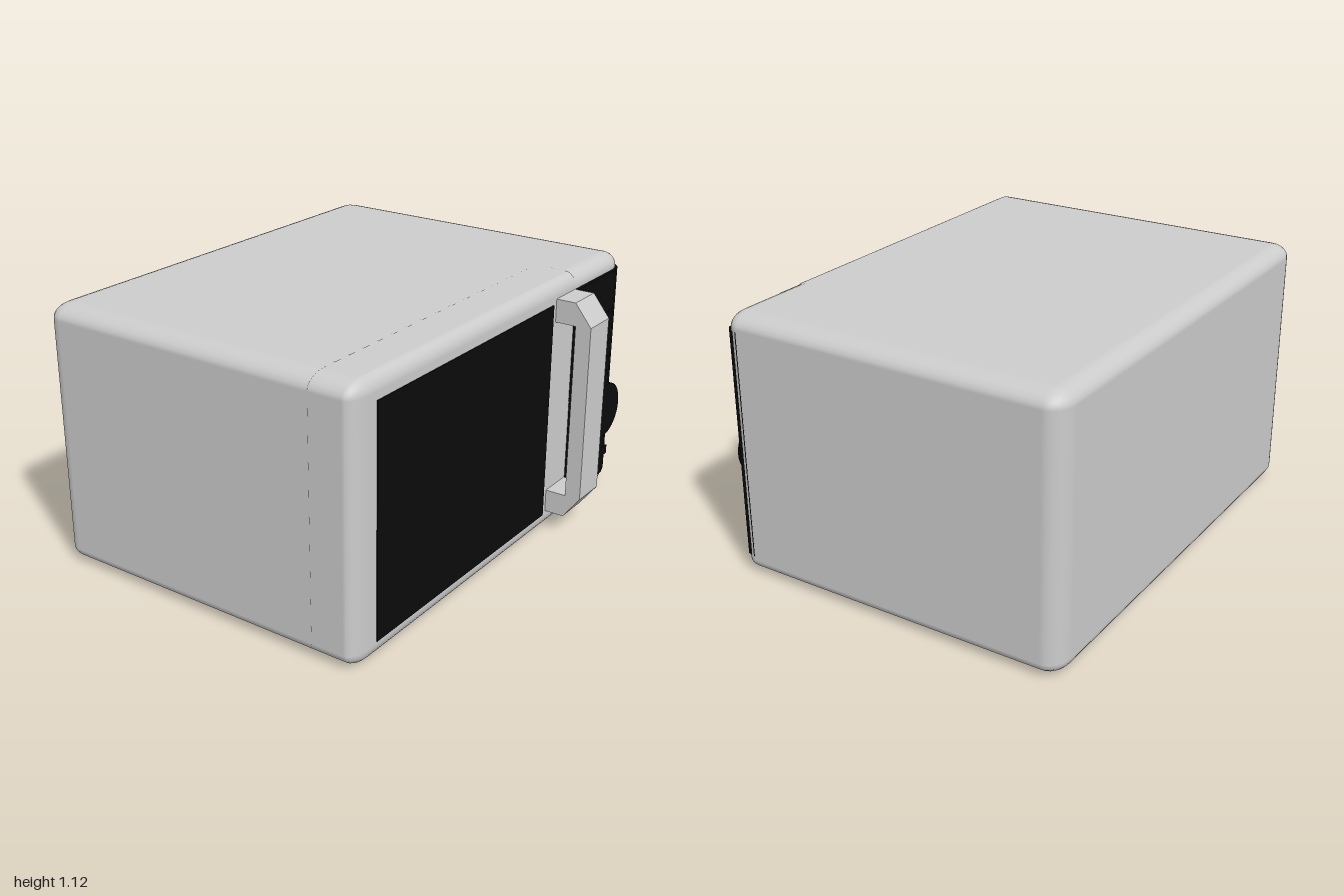
import * as THREE from 'three';

const grey = new THREE.MeshStandardMaterial({ color: 0xcccccc });
const black = new THREE.MeshStandardMaterial({ color: 0x0b0b0b });

function add(parent, name, geometry, material, x = 0, y = 0, z = 0) {
  const mesh = new THREE.Mesh(geometry, material);
  mesh.name = name;
  mesh.position.set(x, y, z);
  parent.add(mesh);
  return mesh;
}

// Block with elliptical rounding; lo / hi give the radius on each axis end (0 = flat cut).
function roundedBlock(min, max, lo, hi, n = 3) {
  const segs = 2 * n + 1;
  const geo = new THREE.BoxGeometry(1, 1, 1, segs, segs, segs);
  const pos = geo.attributes.position, nor = geo.attributes.normal;
  for (let i = 0; i < pos.count; i++) {
    const p = [pos.getX(i), pos.getY(i), pos.getZ(i)];
    const base = [], radius = [], dir = [];
    p.forEach((c, a) => {
      const k = Math.round((c + 0.5) * segs);
      const low = k <= n;
      const r = low ? lo[a] : hi[a];
      const t = (low ? n - k : k - n - 1) / n;
      base[a] = low ? min[a] + r : max[a] - r;
      radius[a] = r;
      dir[a] = r > 0 ? (low ? -1 : 1) * Math.tan(t * Math.PI / 4) : 0;
    });
    const len = Math.hypot(...dir);
    const d = dir.map((c) => (len > 1e-6 ? c / len : 0));
    pos.setXYZ(i, ...base.map((b, a) => b + d[a] * radius[a]));
    if (len > 1e-6) {
      const v = new THREE.Vector3(...d.map((c, a) => (radius[a] ? c / radius[a] : 0))).normalize();
      nor.setXYZ(i, v.x, v.y, v.z);
    }
  }
  return geo;
}

function shapeFrom(points) {
  return new THREE.Shape(points.map(([x, y]) => new THREE.Vector2(x, y)));
}

export function createModel() {
  const model = new THREE.Group();
  model.name = 'microwaveOven';
  const split = 0.57, seam = 0.47, top = 1.12;

  // Cabinet: main case plus the front column that carries the controls
  add(model, 'case', roundedBlock([-1, 0, -0.83], [1, top, seam], [0.1, 0.06, 0.08], [0.1, 0.06, 0]), grey);
  add(model, 'controlColumn', roundedBlock([split, 0, seam], [1, top, 0.668], [0, 0.06, 0], [0.1, 0.06, 0.07]), grey);

  // Door with its dark window
  const door = new THREE.Group();
  door.name = 'door';
  model.add(door);
  add(door, 'doorFrame', roundedBlock([-1, 0, seam + 0.003], [split - 0.003, top, 0.668], [0.1, 0.06, 0], [0, 0.06, 0.05]), grey);
  add(door, 'window', new THREE.BoxGeometry(1.24, 0.96, 0.02), black, -0.24, 0.55, 0.662);

  // Handle: chamfered bracket profile drawn in (z, y), extruded across x
  const bracket = shapeFrom([
    [0.66, 0.08], [0.755, 0.08], [0.83, 0.18], [0.83, 0.955], [0.755, 1.05], [0.66, 1.05],
    [0.66, 0.95], [0.76, 0.95], [0.76, 0.18], [0.66, 0.18],
  ]);
  const handleGeo = new THREE.ExtrudeGeometry(bracket, { depth: 0.16, bevelEnabled: false });
  handleGeo.rotateY(-Math.PI / 2);
  add(door, 'handle', handleGeo, grey, 0.565, 0, 0);

  // Control panel wrapping the front right corner
  const panel = shapeFrom([
    [split, -0.6], [split, -0.682], [0.91, -0.682], [0.965, -0.664], [0.99, -0.64], [1, -0.6],
  ]);
  const panelGeo = new THREE.ExtrudeGeometry(panel, { depth: 0.975, bevelEnabled: false });
  panelGeo.rotateX(-Math.PI / 2);
  add(model, 'controlPanel', panelGeo, black, 0, 0.075, 0);

  // Flat keys: rows above the dial, two wide keys below
  for (let row = 0; row < 5; row++) {
    add(model, 'rowKey', new THREE.BoxGeometry(0.3, 0.012, 0.012), black, 0.76, 0.87 - row * 0.0725, 0.683);
  }
  for (const x of [0.685, 0.855]) {
    add(model, 'wideKey', new THREE.BoxGeometry(0.16, 0.04, 0.012), black, x, 0.185, 0.683);
  }

  // Dial and its bright ring
  const dialGeo = new THREE.CylinderGeometry(0.122, 0.122, 0.07, 48);
  dialGeo.rotateX(Math.PI / 2);
  add(model, 'dial', dialGeo, black, 0.77, 0.453, 0.715);
  add(model, 'dialRing', new THREE.TorusGeometry(0.123, 0.004, 8, 48), grey, 0.77, 0.453, 0.692);

  return model;
}
